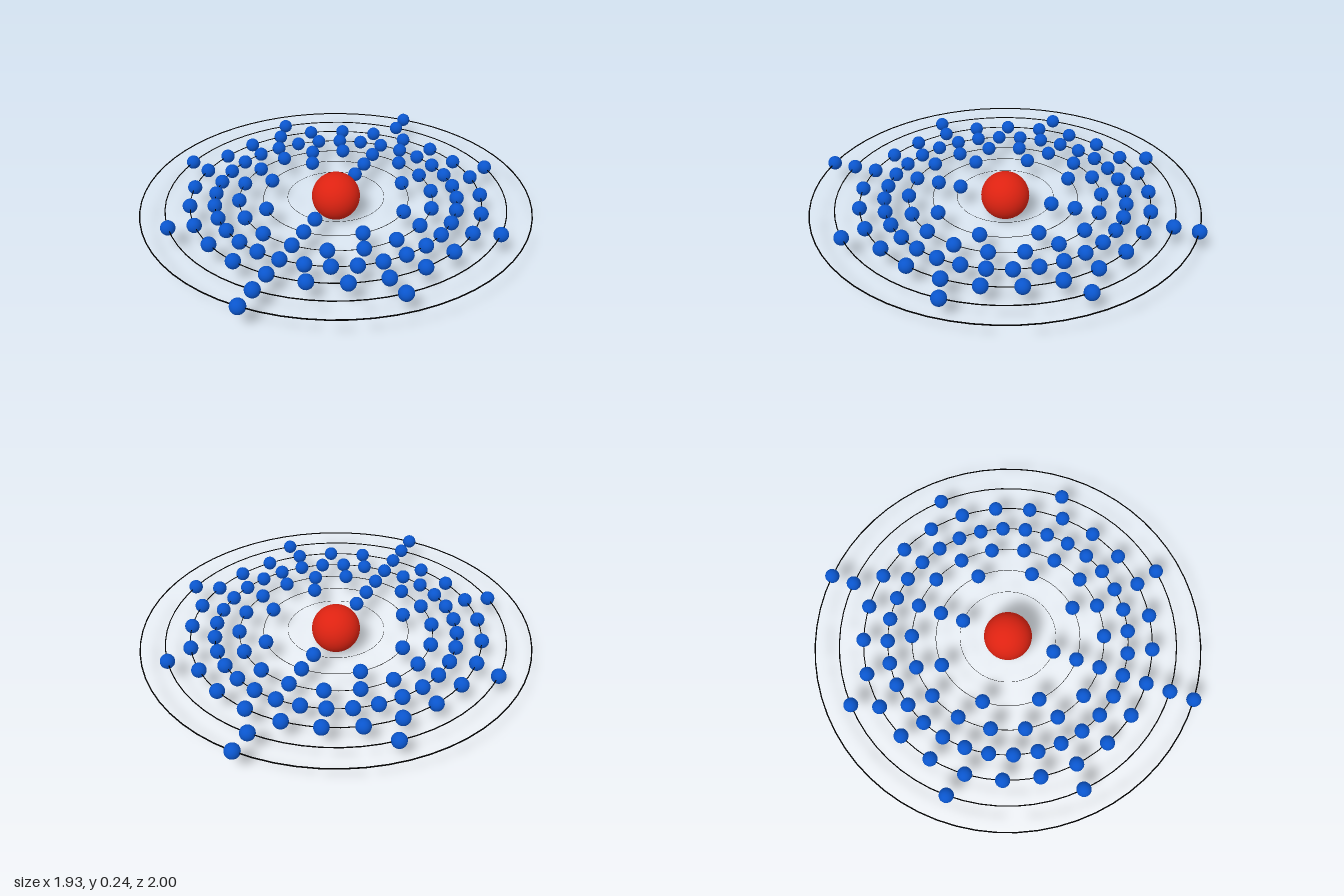
import * as THREE from 'three';

export function createModel() {
  const model = new THREE.Group();
  model.name = 'atomShellModel';

  const unit = 0.1205; // nucleus radius and spacing between shells
  const electronsPerShell = [2, 8, 18, 32, 25, 8, 2];

  const red = new THREE.MeshStandardMaterial({ color: 0xdd2211 });
  const blue = new THREE.MeshStandardMaterial({ color: 0x0a55cc });
  const black = new THREE.MeshStandardMaterial({ color: 0x000000 });

  // Nucleus resting on the ground
  const nucleus = new THREE.Mesh(new THREE.SphereGeometry(unit, 40, 24), red);
  nucleus.name = 'nucleus';
  nucleus.position.y = unit;
  model.add(nucleus);

  // One flat shell per entry: a thin orbit ring with evenly spaced electrons
  const electronGeometry = new THREE.SphereGeometry(0.036, 24, 14);
  electronsPerShell.forEach((count, i) => {
    const radius = unit * (i + 2);
    const shell = new THREE.Group();
    shell.name = `shell${i + 1}`;
    shell.position.y = unit;

    // The ring thickens in proportion to its radius
    const orbit = new THREE.Mesh(new THREE.TorusGeometry(radius, radius * 0.0033, 8, 64), black);
    orbit.name = 'orbitRing';
    orbit.rotation.x = Math.PI / 2;
    shell.add(orbit);

    // Electrons start at the front (+z)
    for (let k = 0; k < count; k++) {
      const angle = (k / count) * Math.PI * 2;
      const electron = new THREE.Mesh(electronGeometry, blue);
      electron.name = 'electron';
      electron.position.set(radius * Math.sin(angle), 0, radius * Math.cos(angle));
      shell.add(electron);
    }
    model.add(shell);
  });

  return model;
}
